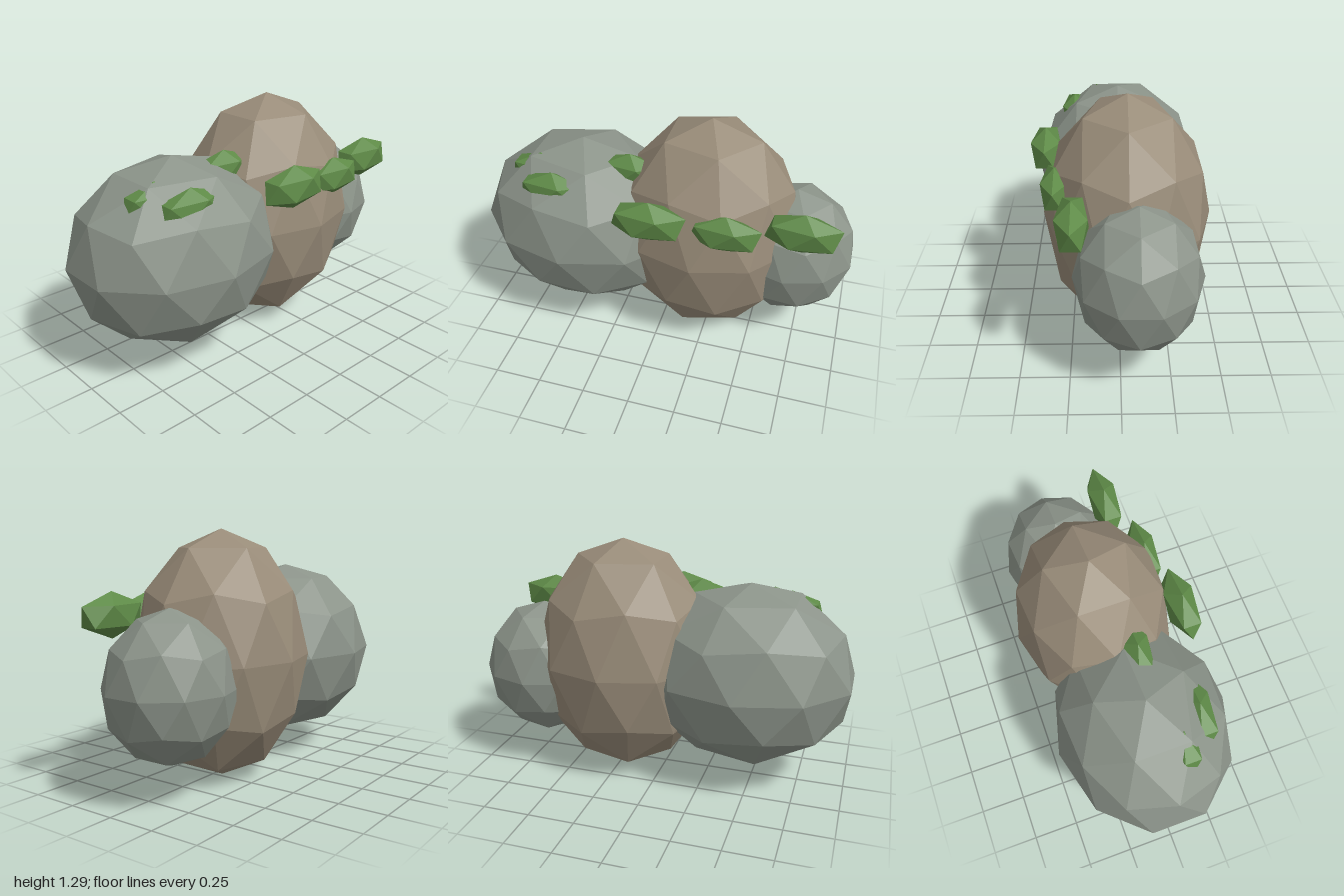
import * as THREE from 'three';

// Faceted ball standing on a corner, stretched to three radii
function blob(name, detail, material, [x, y, z], [rx, ry, rz]) {
  const geometry = new THREE.IcosahedronGeometry(1, detail);
  geometry.rotateZ(-Math.atan(2 / (1 + Math.sqrt(5))));
  geometry.scale(rx, ry, rz);
  geometry.computeVertexNormals();
  const mesh = new THREE.Mesh(geometry, material);
  mesh.name = name;
  mesh.position.set(x, y, z);
  return mesh;
}

export function createModel() {
  const group = new THREE.Group();
  group.name = 'mossyRocks';
  const paint = (color) => {
    const material = new THREE.MeshStandardMaterial({ flatShading: true });
    material.color.set(color);
    return material;
  };
  const grey = paint(0x8c948a);
  const brown = paint(0x998c79);
  const green = paint(0x5e8a47);

  // Three overlapping boulders
  group.add(
    blob('rightBoulder', 1, grey, [-0.457, 0.605, 0], [0.571, 0.49, 0.465]),
    blob('middleBoulder', 1, brown, [0.222, 0.647, -0.04], [0.494, 0.645, 0.43]),
    blob('leftBoulder', 1, grey, [0.675, 0.55, -0.085], [0.342, 0.375, 0.315]),
  );

  // Moss clumps: centre and radii
  const clumps = [
    [[0.01, 0.918, 0.378], [0.212, 0.113, 0.09]],
    [[0.38, 0.872, 0.315], [0.2, 0.104, 0.077]],
    [[0.745, 0.88, 0.218], [0.209, 0.114, 0.088]],
    [[-0.18, 0.975, 0.065], [0.19, 0.103, 0.08]],
    [[-0.54, 0.912, 0.25], [0.2, 0.104, 0.08]],
    [[-0.65, 0.935, 0.12], [0.19, 0.103, 0.08]],
  ];
  clumps.forEach(([centre, radii], i) => group.add(blob(`mossClump${i + 1}`, 0, green, centre, radii)));
  return group;
}
